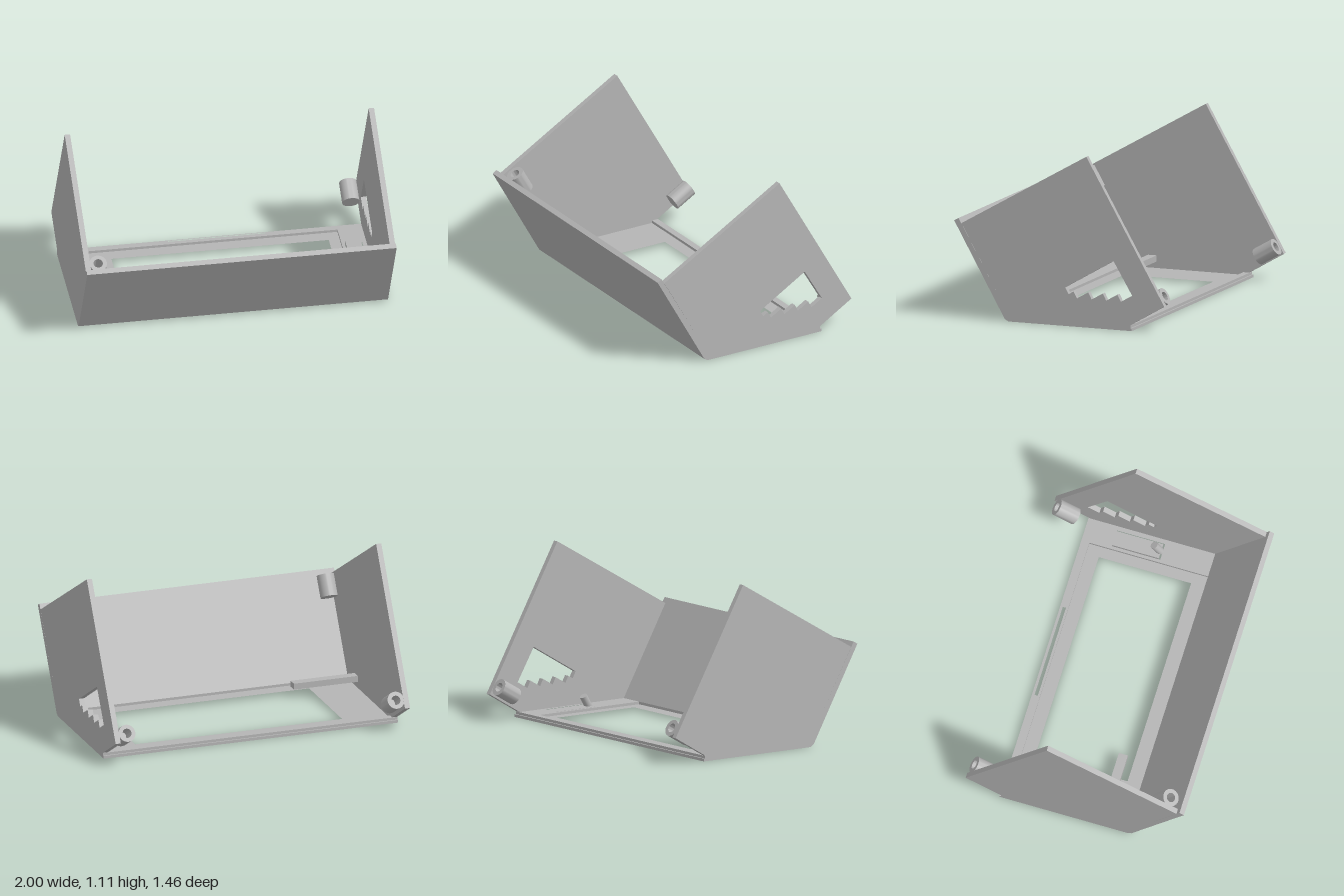
import * as THREE from 'three';
import { toCreasedNormals } from 'three/addons/utils/BufferGeometryUtils.js';

const grey = new THREE.MeshStandardMaterial({ color: 0xb4b4b4 });
grey.name = 'plain grey';

// Extrude a [z, y] outline from x0 to x1
function sideExtrude(points, x0, x1, hole) {
  const toVec = ([z, y]) => new THREE.Vector2(-z, y);
  const shape = new THREE.Shape(points.map(toVec));
  if (hole) shape.holes.push(new THREE.Path(hole.map(toVec)));
  return new THREE.ExtrudeGeometry(shape, { depth: x1 - x0, bevelEnabled: false })
    .rotateY(Math.PI / 2).translate(x0, 0, 0);
}

// Extrude an [x, z] outline from y0 to y1, with rectangular holes
function planExtrude(points, y0, y1, holes) {
  const toVec = ([x, z]) => new THREE.Vector2(x, -z);
  const shape = new THREE.Shape(points.map(toVec));
  for (const h of holes) shape.holes.push(new THREE.Path(rect(...h).map(toVec)));
  return new THREE.ExtrudeGeometry(shape, { depth: y1 - y0, bevelEnabled: false })
    .rotateX(-Math.PI / 2).translate(0, y0, 0);
}

const rect = (x0, x1, z0, z1) => [[x0, z0], [x1, z0], [x1, z1], [x0, z1]];

function box(x0, x1, y0, y1, z0, z1) {
  return new THREE.BoxGeometry(x1 - x0, y1 - y0, z1 - z0)
    .translate((x0 + x1) / 2, (y0 + y1) / 2, (z0 + z1) / 2);
}

export function createModel() {
  const model = new THREE.Group();
  model.name = 'tiltedEnclosure';
  const add = (name, geometry) => {
    const mesh = new THREE.Mesh(geometry, grey);
    mesh.name = name;
    model.add(mesh);
    return mesh;
  };

  // Side walls; the left one has a stepped cutout
  const wall = [[0.347, 0.034], [0.68, 0.615], [-0.185, 1.11], [-0.725, 0.175], [-0.485, 0.035]];
  const cutout = [[-0.374, 0.446], [-0.039, 0.251], [-0.062, 0.208], [-0.097, 0.228],
    [-0.121, 0.185], [-0.199, 0.23], [-0.222, 0.185], [-0.3, 0.23],
    [-0.323, 0.185], [-0.401, 0.23], [-0.425, 0.185], [-0.503, 0.23]];
  add('leftWall', sideExtrude(wall, 0.965, 1, cutout));
  add('rightWall', sideExtrude(wall, -1, -0.965));

  // Sloping front panel
  add('frontPanel', sideExtrude(
    [[0.355, 0], [0.38, 0.015], [0.73, 0.63], [0.7, 0.647], [0.347, 0.035], [0.347, 0]], -1, 1));

  // Base: lower sheet with the window, upper layer leaving a recess for the screen
  const slot = [-0.285, 0.345, -0.483, -0.46];
  const leverHole = [0.825, 0.942, -0.3, 0.022];
  add('baseSheet', planExtrude(rect(-1, 1, -0.5, 0.347), 0, 0.018,
    [[-0.67, 0.735, -0.36, 0.255], slot, leverHole]));
  add('baseRim', planExtrude(
    [[-1, -0.49], [1, -0.49], [1, 0.347], [0.805, 0.347], [0.805, -0.445],
      [-0.965, -0.445], [-0.965, 0.347], [-1, 0.347]], 0.018, 0.035, [slot, leverHole]));

  // Flexible button lever with finger pad below and pin above
  add('buttonLever', box(0.832, 0.932, 0.015, 0.035, -0.3, 0.01));
  add('buttonPad', new THREE.CylinderGeometry(0.045, 0.045, 0.016, 32).translate(0.883, 0.008, -0.035));
  const pin = add('buttonPin', new THREE.CylinderGeometry(0.025, 0.025, 0.09, 24).translate(0, 0.045, 0));
  pin.position.set(0.885, 0.025, 0.008);
  pin.rotation.x = -Math.PI / 6;

  // Support bar reaching over the window from the right wall
  add('supportBar', box(-0.965, -0.53, 0.06, 0.1, 0.155, 0.215));

  // Screw bosses with blind holes
  const length = 0.145;
  const profile = [[0, 0], [0.056, 0], [0.056, length], [0.03, length], [0.03, 0.03], [0, 0.03]]
    .map(([r, y]) => new THREE.Vector2(r, y));
  const bossGeometry = toCreasedNormals(new THREE.LatheGeometry(profile, 36), 0.6);
  const bosses = [
    ['frontBoss', -0.911, 0.637, 0.617, Math.PI / 6],
    ['backRightBoss', -0.915, 0.227, -0.693, -Math.PI / 3],
    ['backLeftBoss', 0.911, 0.227, -0.693, -Math.PI / 3],
  ];
  for (const [name, x, y, z, tilt] of bosses) {
    const boss = add(name, bossGeometry);
    boss.position.set(x, y - length * Math.cos(tilt), z - length * Math.sin(tilt));
    boss.rotation.x = tilt;
  }
  return model;
}
